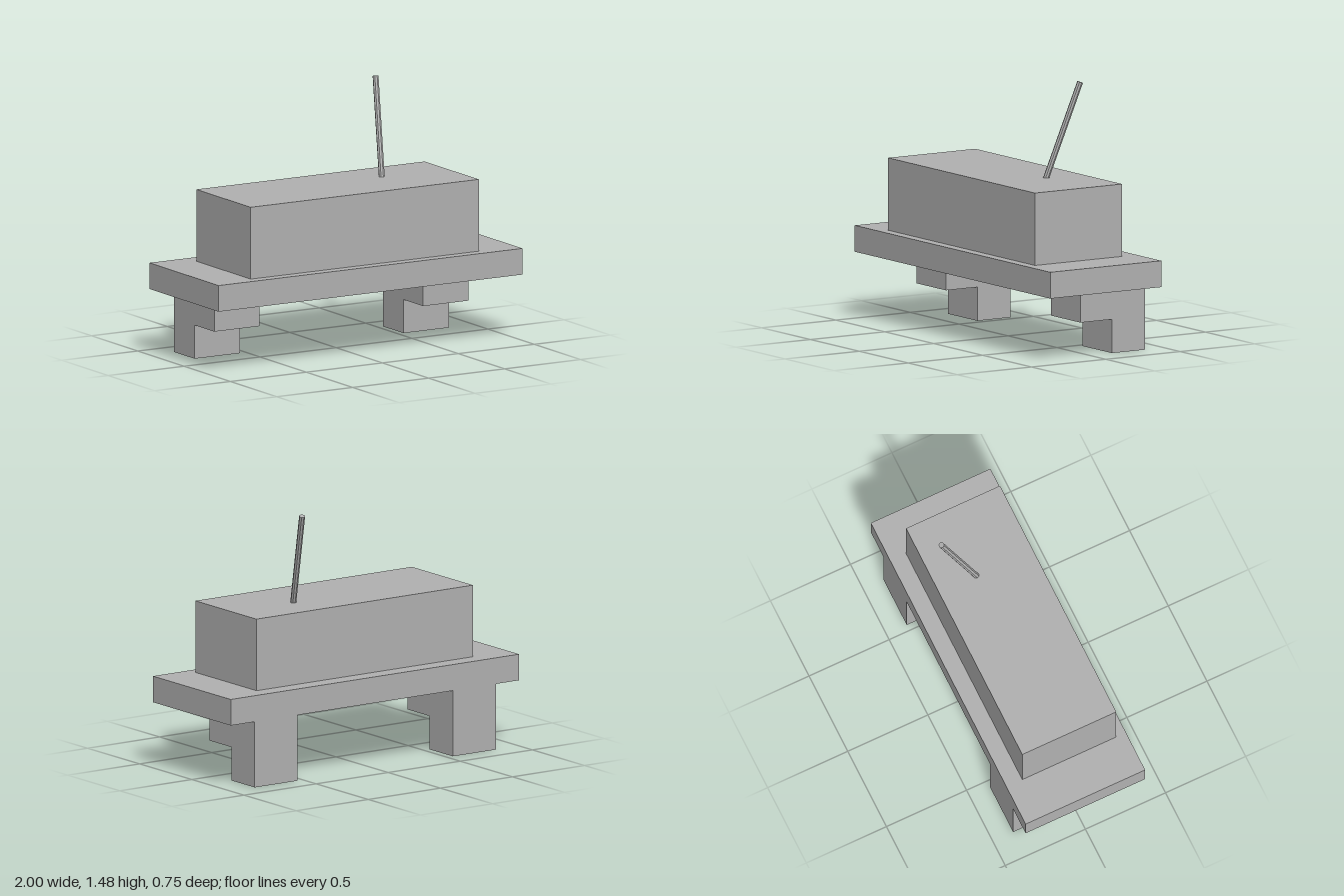
import * as THREE from 'three';

export function createModel() {
  const model = new THREE.Group();
  const grey = new THREE.MeshStandardMaterial({ color: 0xb2b2b2 });
  grey.name = 'grey';

  const add = (name, geometry) => {
    const mesh = new THREE.Mesh(geometry, grey);
    mesh.name = name;
    model.add(mesh);
    return mesh;
  };

  // Box given by its lower and upper corners
  const block = (name, [x0, y0, z0], [x1, y1, z1]) =>
    add(name, new THREE.BoxGeometry(x1 - x0, y1 - y0, z1 - z0))
      .position.set((x0 + x1) / 2, (y0 + y1) / 2, (z0 + z1) / 2);

  block('basePlate', [-1, 0.378, -0.373], [1, 0.528, 0.373]);
  block('body', [-0.752, 0.528, -0.274], [0.75, 0.94, 0.312]);

  // Stepped bracket profile in (z, y), extruded across x
  const profile = new THREE.Shape([
    [-0.373, 0], [-0.15, 0], [-0.15, 0.192], [0.062, 0.192], [0.062, 0.378], [-0.373, 0.378],
  ].map(([z, y]) => new THREE.Vector2(-z, y)));
  const width = 0.298;
  for (const [name, x] of [['leftBracket', 0.536], ['rightBracket', -0.839]]) {
    const geometry = new THREE.ExtrudeGeometry(profile, { depth: width, bevelEnabled: false });
    geometry.rotateY(Math.PI / 2);
    add(name, geometry).position.x = x;
  }

  // Thin rod leaning backwards and to the left, its foot sunk into the body
  const top = new THREE.Vector3(0.397, 1.478, -0.224);
  const foot = new THREE.Vector3(0.323, 0.91, -0.032);
  const axis = top.clone().sub(foot);
  const rodGeometry = new THREE.CylinderGeometry(0.017, 0.017, axis.length(), 8).toNonIndexed();
  rodGeometry.computeVertexNormals();
  const rod = add('antenna', rodGeometry);
  rod.position.copy(foot).add(top).multiplyScalar(0.5);
  rod.quaternion.setFromUnitVectors(new THREE.Vector3(0, 1, 0), axis.normalize());

  return model;
}
